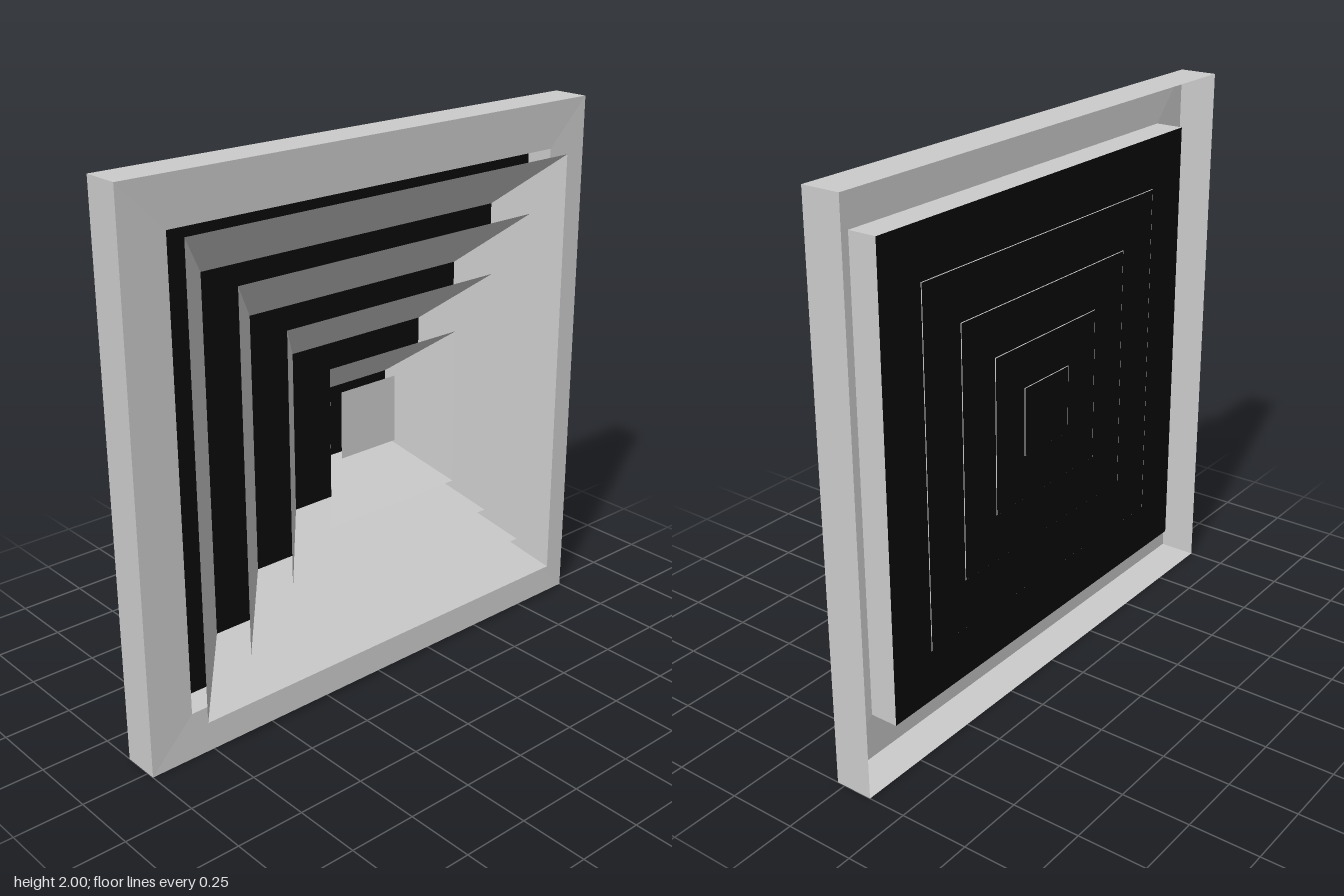
import * as THREE from 'three';

const grey = new THREE.MeshStandardMaterial({ color: 0xcccccc, flatShading: true, side: THREE.DoubleSide });
const black = new THREE.MeshStandardMaterial({ color: 0x0a0a0a, flatShading: true, side: THREE.DoubleSide });

// Thin square band running from half-width front at zFront to half-width back at zBack
function squareBand(name, front, zFront, back, zBack) {
  const geo = new THREE.CylinderGeometry(front * Math.SQRT2, back * Math.SQRT2, zFront - zBack, 4, 1, true);
  geo.rotateY(Math.PI / 4);
  geo.rotateX(Math.PI / 2);
  geo.translate(0, 0, (zFront + zBack) / 2);
  const mesh = new THREE.Mesh(geo, grey);
  mesh.name = name;
  return mesh;
}

function squarePlate(name, half, z, material) {
  const mesh = new THREE.Mesh(new THREE.PlaneGeometry(half * 2, half * 2), material);
  mesh.name = name;
  mesh.position.z = z;
  return mesh;
}

export function createModel() {
  const model = new THREE.Group();
  model.name = 'squareCeilingDiffuser';

  const body = new THREE.Group();
  body.name = 'diffuserBody';
  body.position.y = 1;
  model.add(body);

  // Sheet-metal tray: outer rim, slightly dished face border, inner neck
  body.add(squareBand('outerRim', 1, 0.03, 1, -0.11));
  body.add(squareBand('faceBorder', 1, 0.03, 0.83, 0.025));
  body.add(squareBand('neck', 0.83, 0.025, 0.83, -0.08));

  // Dark plate closing the neck
  body.add(squarePlate('backPlate', 0.83, -0.08, black));

  // Nested flared louvres, each ending where the next one begins
  const sizes = [0.825, 0.64, 0.457, 0.285, 0.125];
  const louvres = new THREE.Group();
  louvres.name = 'louvres';
  for (let i = 0; i < sizes.length - 1; i++) {
    louvres.add(squareBand('louvre' + (i + 1), sizes[i], 0.11, sizes[i + 1], -0.082));
  }
  body.add(louvres);

  // Flat square in the middle
  body.add(squarePlate('centrePlate', 0.123, -0.025, grey));

  return model;
}
